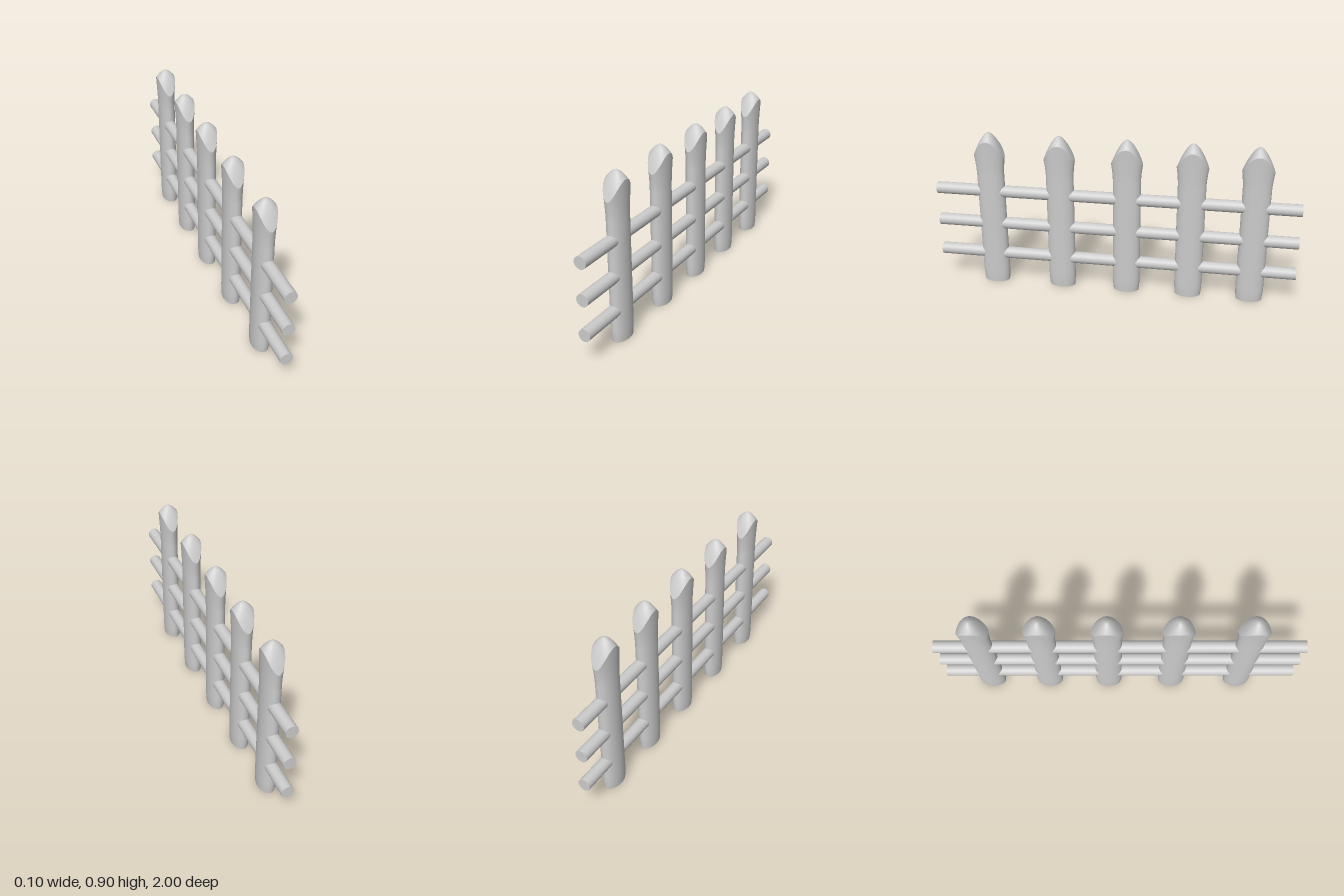
import * as THREE from 'three';

const SIDES = 48;
const HALF_X = 0.046, HALF_Z = 0.076; // oval picket section
const TIP = 0.896;

// Height of the carved rim: low at the z sides, high at the x faces
const rimHeight = (a) => 0.76 + 0.095 * Math.sin(a) ** 2;

// Closed oval rings stacked along t = 0..1; rule(t, angle) gives [scale, y]
function loft(steps, rule) {
  const pos = [], index = [];
  steps.forEach((t) => {
    for (let j = 0; j < SIDES; j++) {
      const a = (j / SIDES) * Math.PI * 2;
      const [s, y] = rule(t, a);
      pos.push(HALF_X * s * Math.sin(a), y, HALF_Z * s * Math.cos(a));
    }
  });
  for (let i = 0; i < steps.length - 1; i++) {
    for (let j = 0; j < SIDES; j++) {
      const k = (j + 1) % SIDES;
      const a = i * SIDES + j, b = i * SIDES + k;
      index.push(a, b, b + SIDES, a, b + SIDES, a + SIDES);
    }
  }
  const g = new THREE.BufferGeometry();
  g.setAttribute('position', new THREE.Float32BufferAttribute(pos, 3));
  g.setIndex(index);
  g.computeVertexNormals();
  return g;
}

const range = (n) => Array.from({ length: n + 1 }, (_, i) => i / n);

export function createModel() {
  const model = new THREE.Group();
  const material = new THREE.MeshStandardMaterial({ color: 0xcccccc });

  // Picket shaft: slight taper at the foot, then a flare up to the curved rim
  const foot = [[0.935, 0], [0.965, 0.02], [0.99, 0.045], [1, 0.07], [1, 0.35], [1, 0.66]];
  const flareSteps = 8;
  const shaft = loft([...foot.keys(), ...range(flareSteps).slice(1).map((t) => 5 + t)], (t, a) => {
    if (t <= 5) return foot[t];
    const u = t - 5;
    return [1 + 0.125 * u ** 1.6, 0.66 + u * (rimHeight(a) - 0.66)];
  });

  // Carved point: from the rim in to a rounded tip
  const point = loft(range(14), (t, a) => {
    const r = 1 - t;
    return [1.125 * r, TIP - (TIP - rimHeight(a)) * r ** 1.65];
  });

  // Flat underside
  const underside = loft([0, 1], (t) => [0.935 * t, 0]);

  // Five pickets
  [0.69, 0.302, -0.066, -0.415, -0.756].forEach((z) => {
    const picket = new THREE.Group();
    picket.name = 'picket';
    for (const [name, geometry] of [['picketShaft', shaft], ['picketPoint', point], ['picketUnderside', underside]]) {
      const mesh = new THREE.Mesh(geometry, material);
      mesh.name = name;
      picket.add(mesh);
    }
    picket.position.z = z;
    model.add(picket);
  });

  // Three round rails running the full length
  const railGeometry = new THREE.CylinderGeometry(0.033, 0.033, 2, 40).rotateX(Math.PI / 2);
  [0.175, 0.362, 0.555].forEach((y) => {
    const rail = new THREE.Mesh(railGeometry, material);
    rail.name = 'rail';
    rail.position.y = y;
    model.add(rail);
  });

  return model;
}
